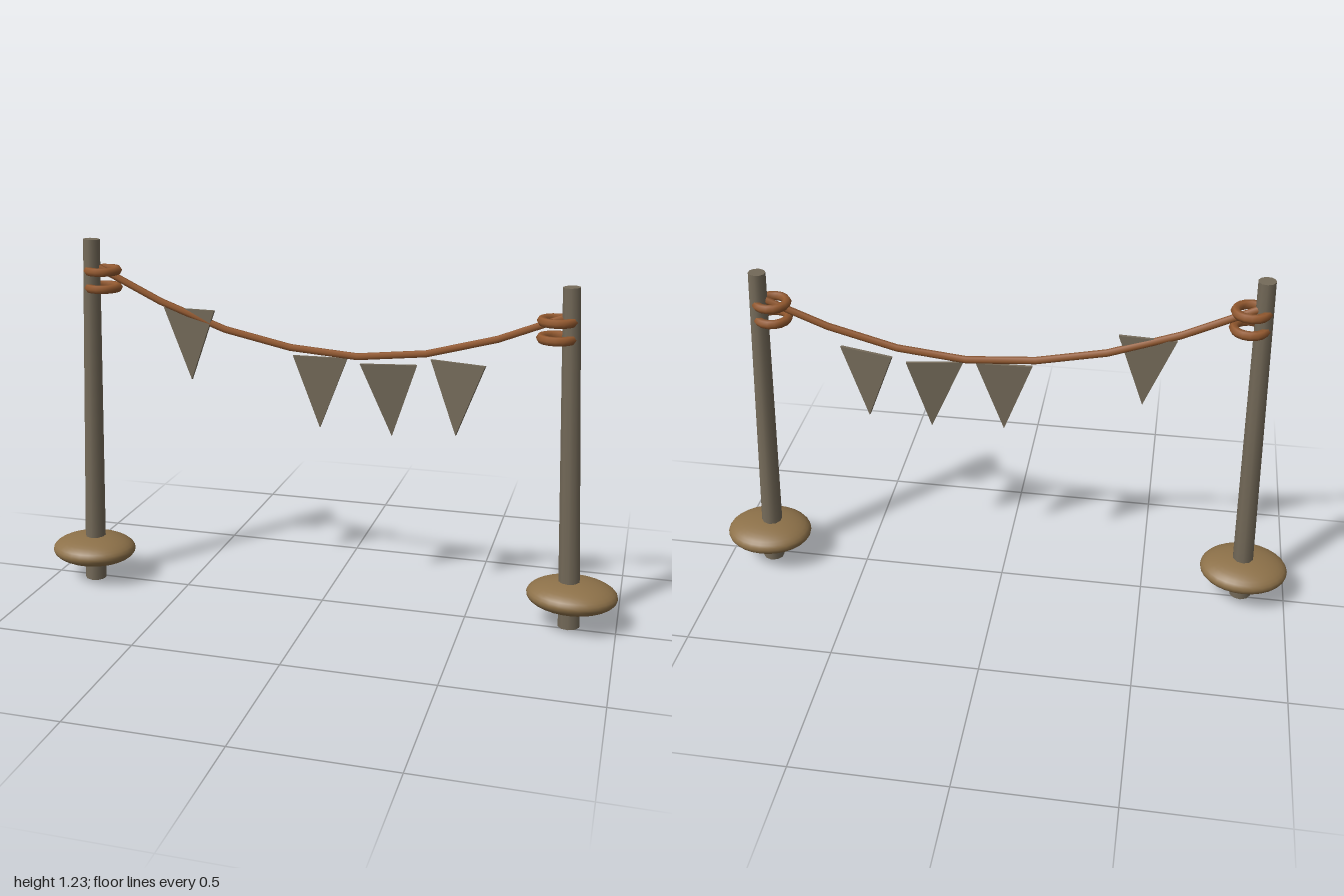
import * as THREE from 'three';

const V = (x, y, z) => new THREE.Vector3(x, y, z);

export function createModel() {
  const group = new THREE.Group();
  const material = (name, color) => {
    const m = new THREE.MeshStandardMaterial({ color });
    m.name = name;
    return m;
  };
  const greyWood = material('weathered grey', 0x746a59);
  const ropeBrown = material('rope brown', 0x93592f);
  const earth = material('earth tan', 0x8d7149);

  const add = (name, geometry, mat, position) => {
    const mesh = new THREE.Mesh(geometry, mat);
    mesh.name = name;
    mesh.position.copy(position);
    group.add(mesh);
    return mesh;
  };

  // Leaning tapered posts, each with a mound at the foot and two rope loops
  const posts = [
    { side: 'right', foot: V(-0.85, 0.003, 0.02), top: V(-0.807, 1.23, 0.002), ringX: -0.772, ringY: [1.125, 1.067] },
    { side: 'left', foot: V(0.846, 0.003, -0.022), top: V(0.794, 1.142, -0.004), ringX: 0.757, ringY: [1.035, 0.98] },
  ];
  for (const { side, foot, top, ringX, ringY } of posts) {
    const axis = top.clone().sub(foot);
    const post = add(`${side}Post`, new THREE.CylinderGeometry(0.028, 0.037, axis.length(), 10),
      greyWood, foot.clone().add(top).multiplyScalar(0.5));
    post.quaternion.setFromUnitVectors(V(0, 1, 0), axis.normalize());

    const mound = new THREE.SphereGeometry(1, 28, 18).scale(0.15, 0.052, 0.128);
    add(`${side}Mound`, mound, earth, V(Math.sign(foot.x) * 0.85, 0.115, foot.z));

    ringY.forEach((y, i) => {
      const loop = new THREE.TorusGeometry(0.05, 0.015, 6, 16).rotateX(Math.PI / 2);
      add(`${side}RopeLoop${i + 1}`, loop, ropeBrown, V(ringX, y, 0));
    });
  }

  // Sagging rope made of straight lengths
  const sag = [1.137, 1.028, 0.945, 0.897, 0.88, 0.904, 0.965, 1.055];
  const curve = new THREE.CatmullRomCurve3(sag.map((y, i) => V(-0.795 + i * 0.228, y, -0.004)));
  curve.getPointAt = curve.getPoint;
  curve.getTangentAt = curve.getTangent;
  add('rope', new THREE.TubeGeometry(curve, 7, 0.012, 6), ropeBrown, V(0, 0, 0));

  // Thin triangular pennants: x, top height, turn about y, sideways shift of the tip
  const pennants = [
    [-0.464, 1.008, -0.07, 0.004],
    [-0.008, 0.872, 0.03, 0],
    [0.222, 0.861, 0.17, 0.015],
    [0.45, 0.881, -0.25, 0],
  ];
  pennants.forEach(([x, y, turn, shift], i) => {
    const half = 0.092 / Math.cos(turn);
    const shape = new THREE.Shape([
      new THREE.Vector2(-half, 0), new THREE.Vector2(shift, -0.242), new THREE.Vector2(half, 0),
    ]);
    const plate = new THREE.ExtrudeGeometry(shape, { depth: 0.01, bevelEnabled: false }).translate(0, 0, -0.005);
    add(`pennant${i + 1}`, plate, greyWood, V(x, y, -0.003)).rotation.y = turn;
  });

  return group;
}
